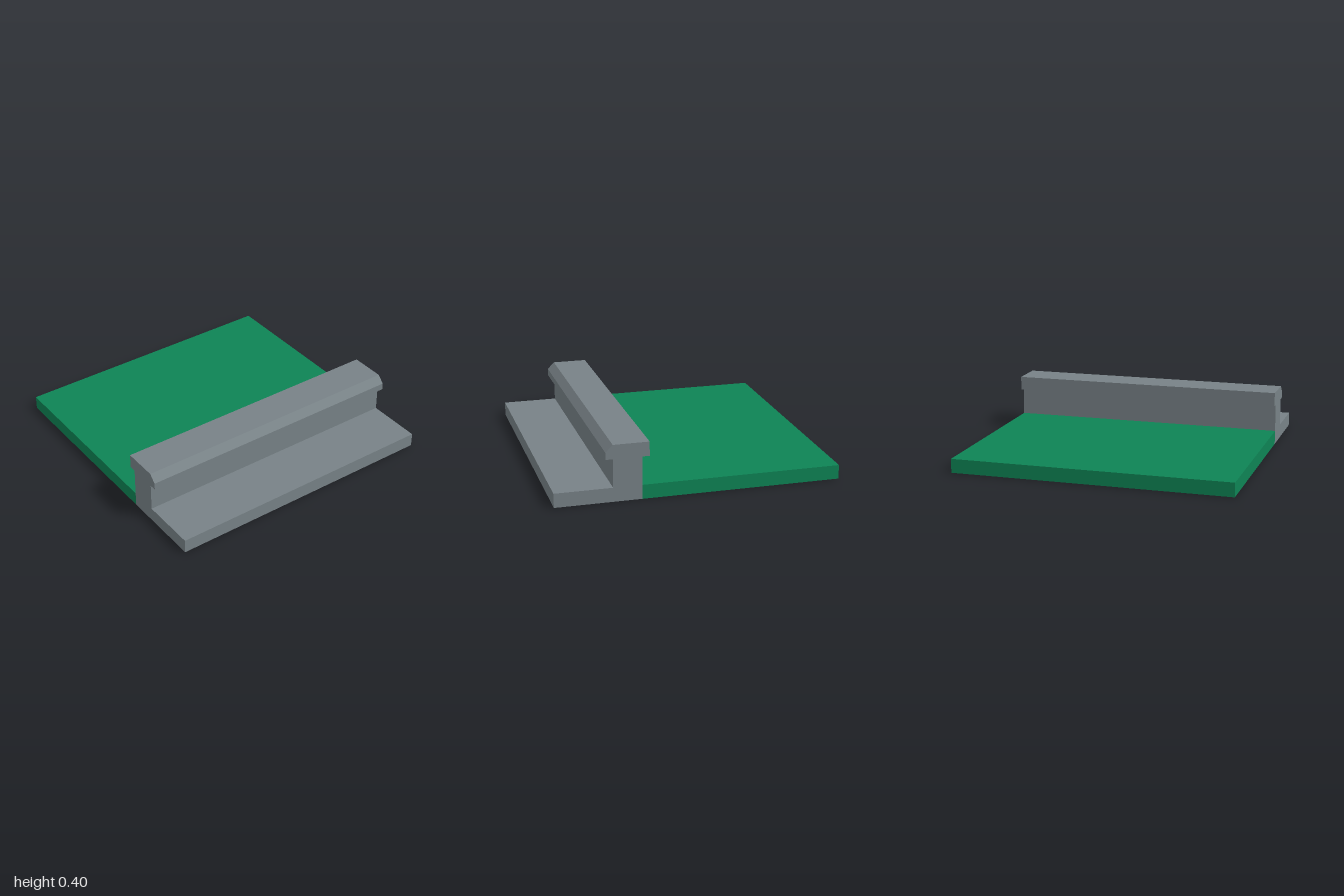
import * as THREE from 'three';

const LENGTH = 2;

export function createModel() {
  const model = new THREE.Group();
  model.name = 'platformEdge';

  const green = new THREE.MeshStandardMaterial({ color: 0x0e8455 });
  green.name = 'grass green';
  const grey = new THREE.MeshStandardMaterial({ color: 0x788287 });
  grey.name = 'concrete grey';

  // Flat ground slab beside the wall
  const ground = new THREE.Mesh(new THREE.BoxGeometry(1.4, 0.1, LENGTH), green);
  ground.name = 'groundSlab';
  ground.position.set(-0.3, 0.05, 0);
  model.add(ground);

  // Paving, wall and chamfered cap as one section run along z
  const profile = [
    [0.4, 0], [1, 0], [1, 0.1], [0.6, 0.1], [0.6, 0.3], [0.65, 0.3],
    [0.65, 0.35], [0.6, 0.4], [0.35, 0.4], [0.35, 0.3], [0.4, 0.3],
  ];
  const section = new THREE.Shape(profile.map(([x, y]) => new THREE.Vector2(x, y)));
  const wallGeometry = new THREE.ExtrudeGeometry(section, { depth: LENGTH, bevelEnabled: false });
  wallGeometry.translate(0, 0, -LENGTH / 2);
  const wall = new THREE.Mesh(wallGeometry, grey);
  wall.name = 'wallWithPaving';
  model.add(wall);

  return model;
}
